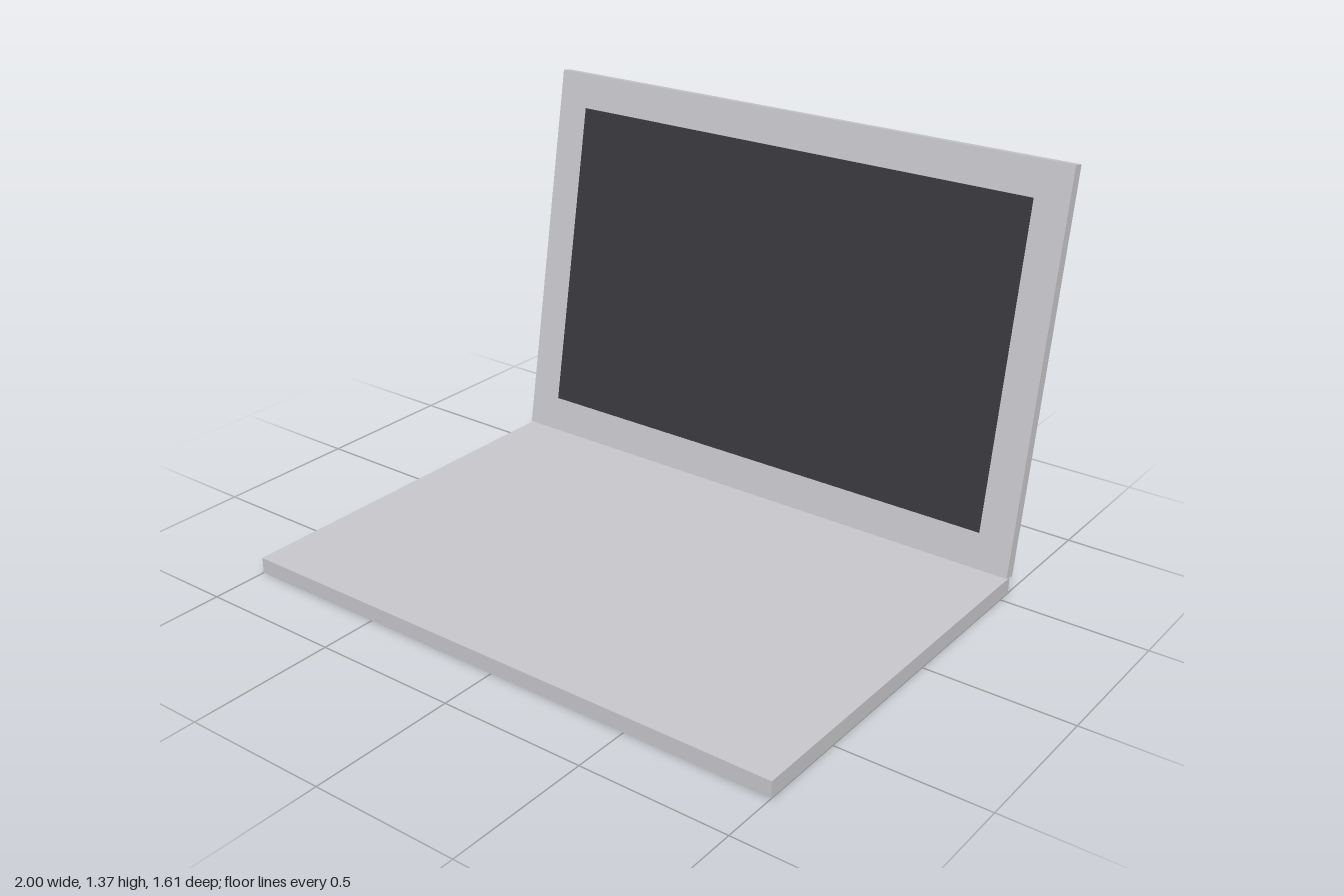
import * as THREE from 'three';

export function createModel() {
  const silver = new THREE.MeshStandardMaterial({ color: 0xc6c6ca });
  silver.name = 'silver';
  const dark = new THREE.MeshStandardMaterial({ color: 0x38383d });
  dark.name = 'darkScreen';

  const depth = 1.36, baseHeight = 0.055, lidLength = 1.333, lidThickness = 0.04;
  const hingeZ = -0.556;

  const slab = (name, w, h, d, material, parent) => {
    const mesh = new THREE.Mesh(new THREE.BoxGeometry(w, h, d), material);
    mesh.name = name;
    parent.add(mesh);
    return mesh;
  };

  const model = new THREE.Group();
  model.name = 'laptop';

  // Plain slab base, its back edge under the hinge line
  slab('base', 2, baseHeight, depth, silver, model)
    .position.set(0, baseHeight / 2, hingeZ + depth / 2);

  // Lid pivots on the back edge of the base and leans back ten degrees
  const lid = new THREE.Group();
  lid.name = 'lid';
  lid.position.set(0, baseHeight + 0.0005, hingeZ);
  lid.rotation.x = -THREE.MathUtils.degToRad(10);
  model.add(lid);
  slab('lidPanel', 2, lidLength, lidThickness, silver, lid).position.y = lidLength / 2;

  // Thin screen plate on the inner face of the lid
  slab('screen', 1.764, 1.09, 0.002, dark, lid)
    .position.set(0, lidLength / 2, lidThickness / 2 + 0.0005);

  return model;
}
